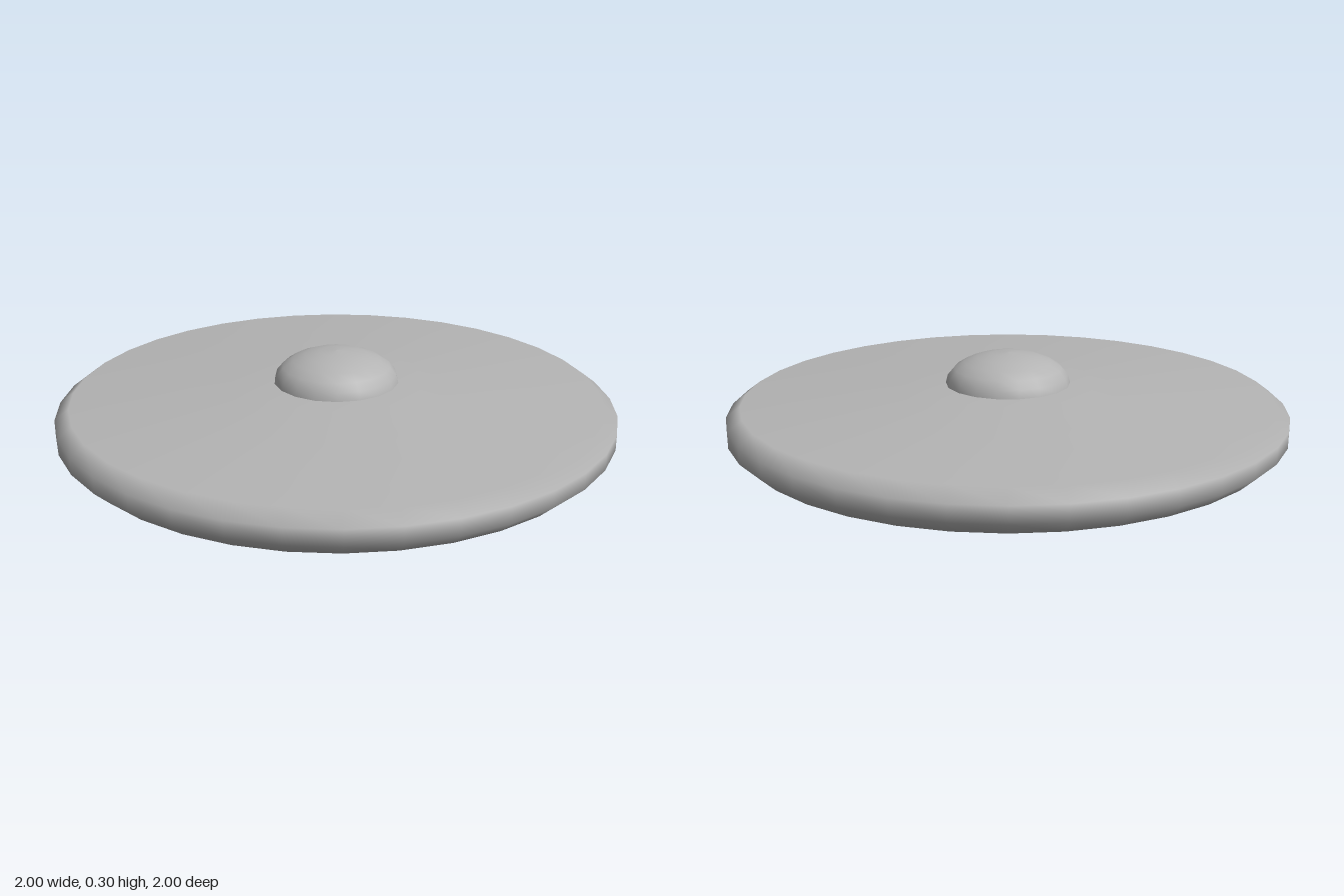
import * as THREE from 'three';

// Smooth surface of revolution from [radius, height] pairs, listed bottom to top
function turned(name, profile, sides, material) {
  const points = profile.map(([r, y]) => new THREE.Vector2(r, y));
  const mesh = new THREE.Mesh(new THREE.LatheGeometry(points, sides), material);
  mesh.name = name;
  return mesh;
}

export function createModel() {
  const model = new THREE.Group();
  model.name = 'saucer';
  const grey = new THREE.MeshStandardMaterial({ color: 0xb4b4b4 });
  grey.name = 'plain grey';

  // Wide disc with a bevelled rim, gently sloping top and raised collar
  model.add(turned('disc', [
    [0, 0], [0.95, 0.003], [1, 0.05], [1, 0.107], [0.95, 0.145],
    [0.385, 0.163], [0.315, 0.188], [0, 0.188],
  ], 36, grey));

  // Flattened half dome on the collar
  const dome = [];
  const steps = 6;
  for (let i = 0; i <= steps; i++) {
    const a = (i / steps) * Math.PI / 2;
    dome.push([i === steps ? 0 : 0.225 * Math.cos(a), 0.188 + 0.112 * Math.sin(a)]);
  }
  model.add(turned('dome', dome, 18, grey));

  return model;
}
